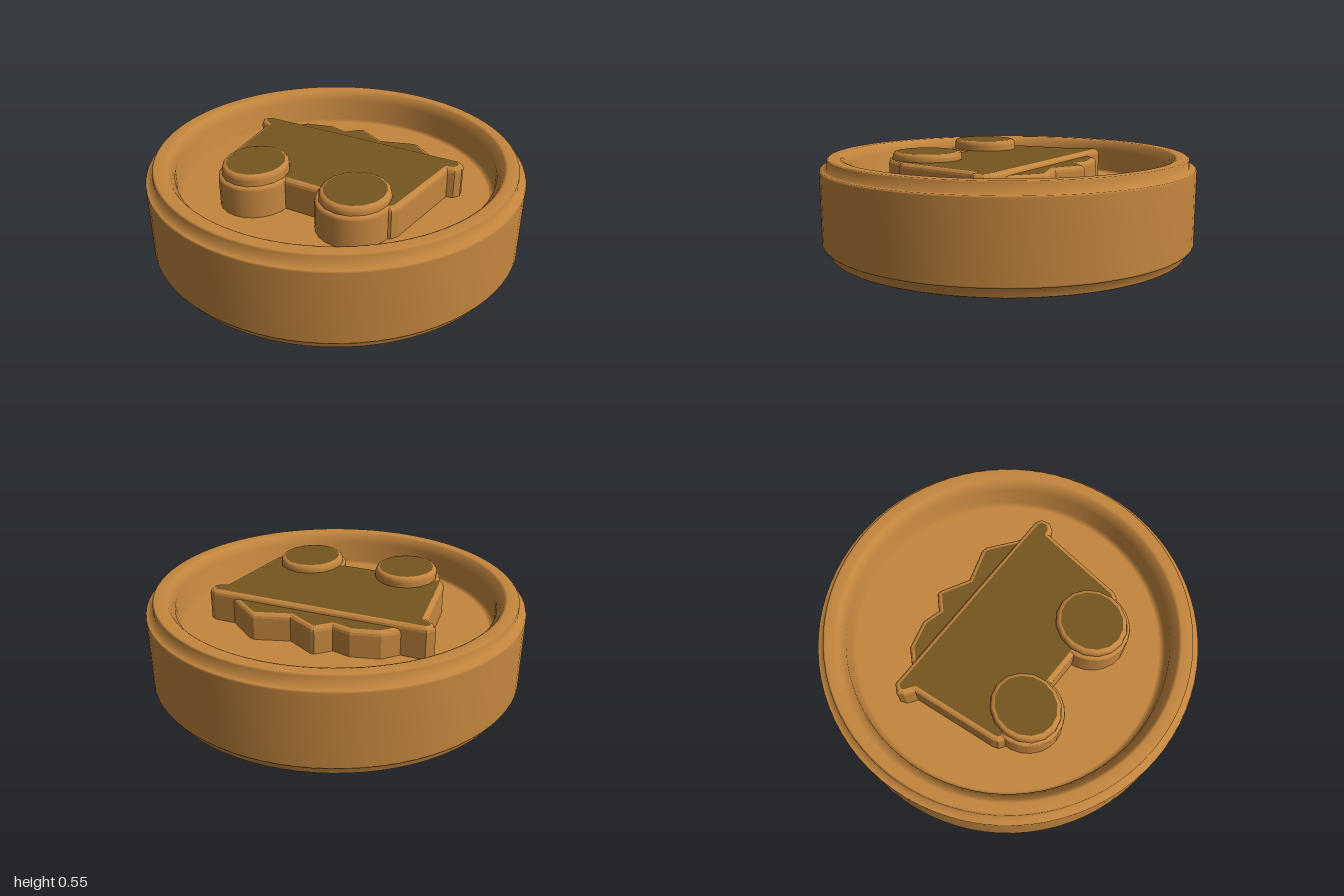
import * as THREE from 'three';

const gold = new THREE.MeshStandardMaterial({ color: 0xc4863e });
const dark = new THREE.MeshStandardMaterial({ color: 0x75561f });
const FLOOR = 0.32; // top recess floor

function lathe(points, segments) {
  return new THREE.LatheGeometry(points.map(([r, y]) => new THREE.Vector2(r, y)), segments);
}

function add(parent, name, geometry, material) {
  const mesh = new THREE.Mesh(geometry, material);
  mesh.name = name;
  parent.add(mesh);
  return mesh;
}

// Raised relief from an [x, z] outline: dark top face, rounded gold edge
function relief(parent, name, outline, top) {
  const bevel = 0.025, bottom = FLOOR - 0.04;
  const shape = new THREE.Shape(outline.map(([x, z]) => new THREE.Vector2(x, -z)));
  const geometry = new THREE.ExtrudeGeometry(shape, {
    depth: top - bottom - 2 * bevel,
    bevelSize: bevel, bevelOffset: -bevel, bevelThickness: bevel, bevelSegments: 3,
  });
  geometry.rotateX(-Math.PI / 2).translate(0, bottom + bevel, 0);
  add(parent, name, geometry, [dark, gold]);
}

// Oval wheel with a low collar, rounded shoulder and dark cap
function wheel(parent, name, x, z, rx, rz, top) {
  const group = new THREE.Group();
  group.name = name;
  group.position.set(x, 0, z);
  const collar = add(group, name + 'Collar',
    lathe([[1, FLOOR], [1, 0.47], [0.98, 0.488], [0.85, 0.49]], 24), gold);
  collar.scale.set(rx + 0.018, 1, rz + 0.018);
  const side = add(group, name + 'Side',
    lathe([[1, FLOOR], [1, top - 0.03], [0.98, top - 0.012], [0.93, top - 0.002], [0.87, top]], 16), gold);
  side.scale.set(rx, 1, rz);
  const cap = add(group, name + 'Cap', new THREE.CircleGeometry(0.87, 16).rotateX(-Math.PI / 2), dark);
  cap.position.y = top;
  cap.scale.set(rx, 1, rz);
  parent.add(group);
}

export function createModel() {
  const model = new THREE.Group();
  model.name = 'mineCartCoin';

  // Coin: stepped outer wall, raised rims and a recess on both faces
  add(model, 'coin', lathe([
    [0, 0.19], [0.82, 0.19], [0.85, 0.2], [0.85, 0.055], [0.885, 0.005], [0.9, 0],
    [0.95, 0], [0.96, 0.006], [0.962, 0.055], [0.995, 0.056], [1, 0.065],
    [1, 0.445], [0.995, 0.454], [0.962, 0.455], [0.96, 0.504], [0.95, 0.51],
    [0.9, 0.51], [0.885, 0.505], [0.85, 0.455], [0.85, 0.33], [0.82, FLOOR], [0, FLOOR],
  ], 80), gold);

  const cart = new THREE.Group();
  cart.name = 'cart';
  model.add(cart);

  // Ore heap behind the cart's lip
  relief(cart, 'ore', [
    [-0.49, -0.22], [-0.46, -0.27], [-0.39, -0.345], [-0.24, -0.385], [-0.14, -0.36],
    [-0.07, -0.43], [-0.05, -0.43], [0.1, -0.35], [0.28, -0.408], [0.31, -0.4],
    [0.47, -0.28], [0.5, -0.22],
  ], 0.465);

  // Tapered cart body with a flared lip
  relief(cart, 'cartBody', [
    [-0.59, -0.265], [0.59, -0.28], [0.625, -0.26], [0.635, -0.21], [0.61, -0.175],
    [0.575, -0.165], [0.52, 0.31], [0.5, 0.345], [0.47, 0.355], [-0.47, 0.355],
    [-0.5, 0.335], [-0.51, 0.3], [-0.56, -0.155], [-0.61, -0.19], [-0.625, -0.225],
  ], 0.49);

  // Wheels
  wheel(cart, 'rightWheel', -0.28, 0.338, 0.17, 0.187, 0.545);
  wheel(cart, 'leftWheel', 0.293, 0.323, 0.178, 0.192, 0.53);

  return model;
}
